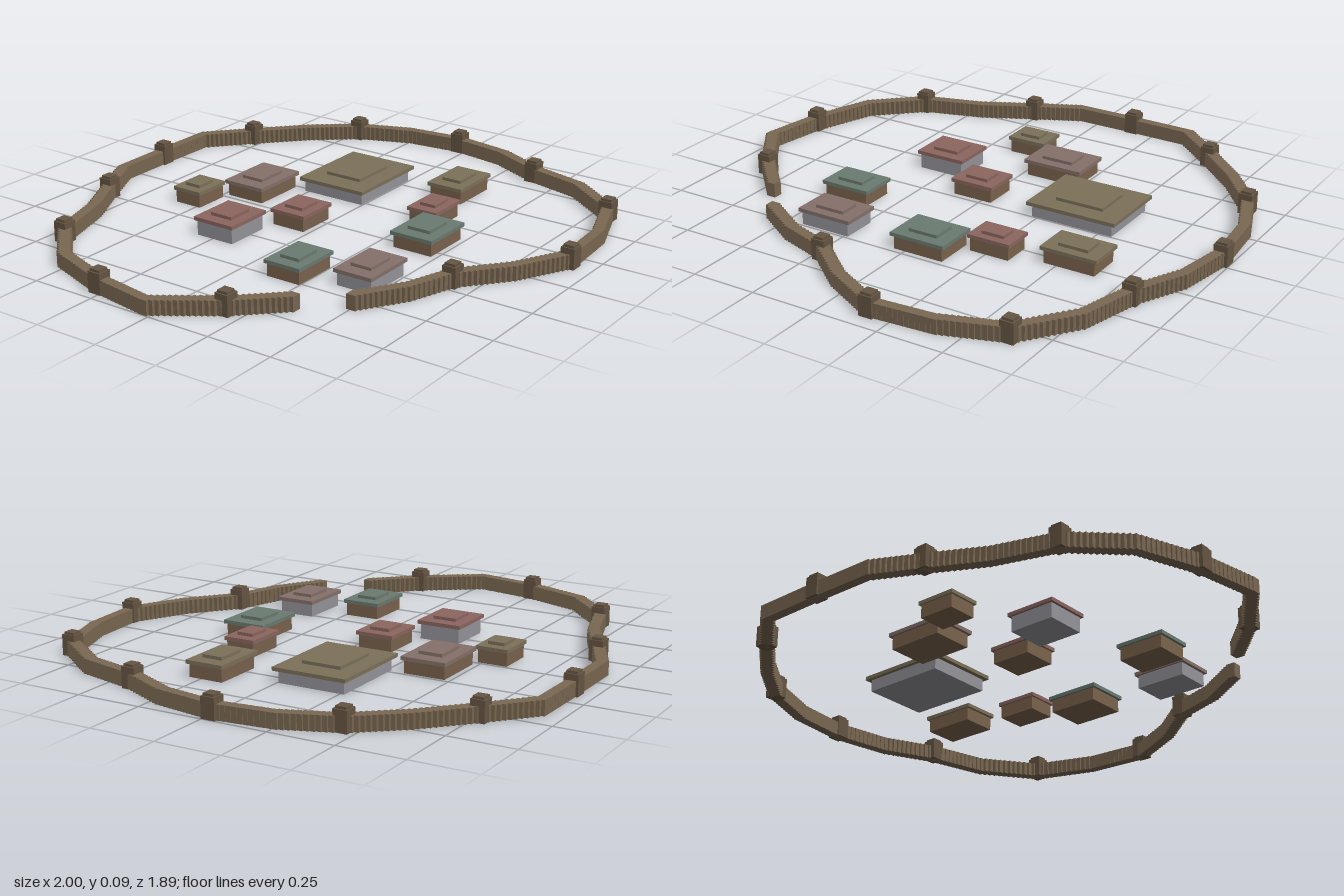
import * as THREE from 'three';
import { mergeGeometries } from 'three/addons/utils/BufferGeometryUtils.js';

const mat = (color) => new THREE.MeshStandardMaterial({ color, flatShading: true });

// Box standing on height y0
function block(w, h, d, x, y0, z) {
  return new THREE.BoxGeometry(w, h, d).translate(x, y0 + h / 2, z);
}

function named(name, geometry, material) {
  const mesh = new THREE.Mesh(geometry, material);
  mesh.name = name;
  return mesh;
}

// Palisade line [x, z] from one side of the gate round to the other
const PATH = [
  [-0.68, 0.345], [-0.83, 0.19], [-0.98, -0.025], [-0.94, -0.265], [-0.855, -0.505],
  [-0.68, -0.67], [-0.45, -0.74], [-0.255, -0.84], [-0.08, -0.925], [0.16, -0.925],
  [0.405, -0.92], [0.565, -0.78], [0.735, -0.62], [0.87, -0.455], [0.95, -0.25],
  [0.973, -0.025], [0.935, 0.2], [0.843, 0.393], [0.785, 0.62], [0.637, 0.82],
  [0.405, 0.9], [0.165, 0.917], [-0.04, 0.81], [-0.21, 0.67], [-0.39, 0.61], [-0.555, 0.505],
];

// Closely set square posts following the line
function buildWall() {
  const posts = [];
  for (let i = 0; i < PATH.length - 1; i++) {
    const [ax, az] = PATH[i], [bx, bz] = PATH[i + 1];
    const n = Math.round(Math.hypot(bx - ax, bz - az) / 0.02);
    const last = i === PATH.length - 2 ? n : n - 1;
    for (let k = 0; k <= last; k++) {
      const t = k / n;
      posts.push(block(0.037, 0.055, 0.037, ax + (bx - ax) * t, 0, az + (bz - az) * t));
    }
  }
  return named('palisadeWall', mergeGeometries(posts), mat(0x7a6852));
}

// Watchtower with a slightly narrower cap
function buildTower(x, z, wood) {
  const tower = new THREE.Group();
  tower.name = 'watchtower';
  tower.add(
    named('towerBody', block(0.053, 0.078, 0.053, x, 0, z), wood),
    named('towerCap', block(0.041, 0.009, 0.041, x, 0.078, z), wood),
  );
  return tower;
}

// Houses: x, z, roof width, roof depth, roof colour, wall colour
const OLIVE = 0x7c725a, RED = 0x8c665f, ROSE = 0x86716a, GREEN = 0x6b7b71;
const TIMBER = 0x7a634d, STONE = 0x94949a;
const HOUSES = [
  [-0.08, -0.54, 0.155, 0.125, OLIVE, TIMBER],
  [0.13, -0.4, 0.24, 0.175, ROSE, TIMBER],
  [-0.27, -0.24, 0.2, 0.175, RED, STONE, 0.008],
  [-0.04, -0.09, 0.175, 0.15, RED, TIMBER],
  [0.39, -0.135, 0.36, 0.29, OLIVE, STONE, -0.004],
  [-0.42, 0.18, 0.2, 0.15, GREEN, TIMBER],
  [-0.335, 0.42, 0.22, 0.155, ROSE, STONE],
  [0.055, 0.4, 0.22, 0.175, GREEN, TIMBER],
  [0.265, 0.295, 0.17, 0.125, RED, TIMBER],
  [0.55, 0.23, 0.22, 0.15, OLIVE, TIMBER],
];

// Walls, overhanging roof slab and raised roof centre
function buildHouse([x, z, w, d, roofColor, wallColor, extra = 0]) {
  const house = new THREE.Group();
  house.name = 'house';
  const h = 0.05 + extra, roof = mat(roofColor);
  house.add(
    named('houseWalls', block(w * 0.9, h, d * 0.9, x, 0, z), mat(wallColor)),
    named('roofSlab', block(w, 0.014, d, x, h, z), roof),
    named('roofTop', block(w * 0.53, 0.012, d * 0.53, x, h + 0.014, z), roof),
  );
  return house;
}

export function createModel() {
  const group = new THREE.Group();
  group.name = 'walledVillage';
  group.add(buildWall());
  const wood = mat(0x665643);
  for (let i = 1; i < PATH.length - 1; i += 2) group.add(buildTower(...PATH[i], wood));
  for (const h of HOUSES) group.add(buildHouse(h));
  return group;
}
